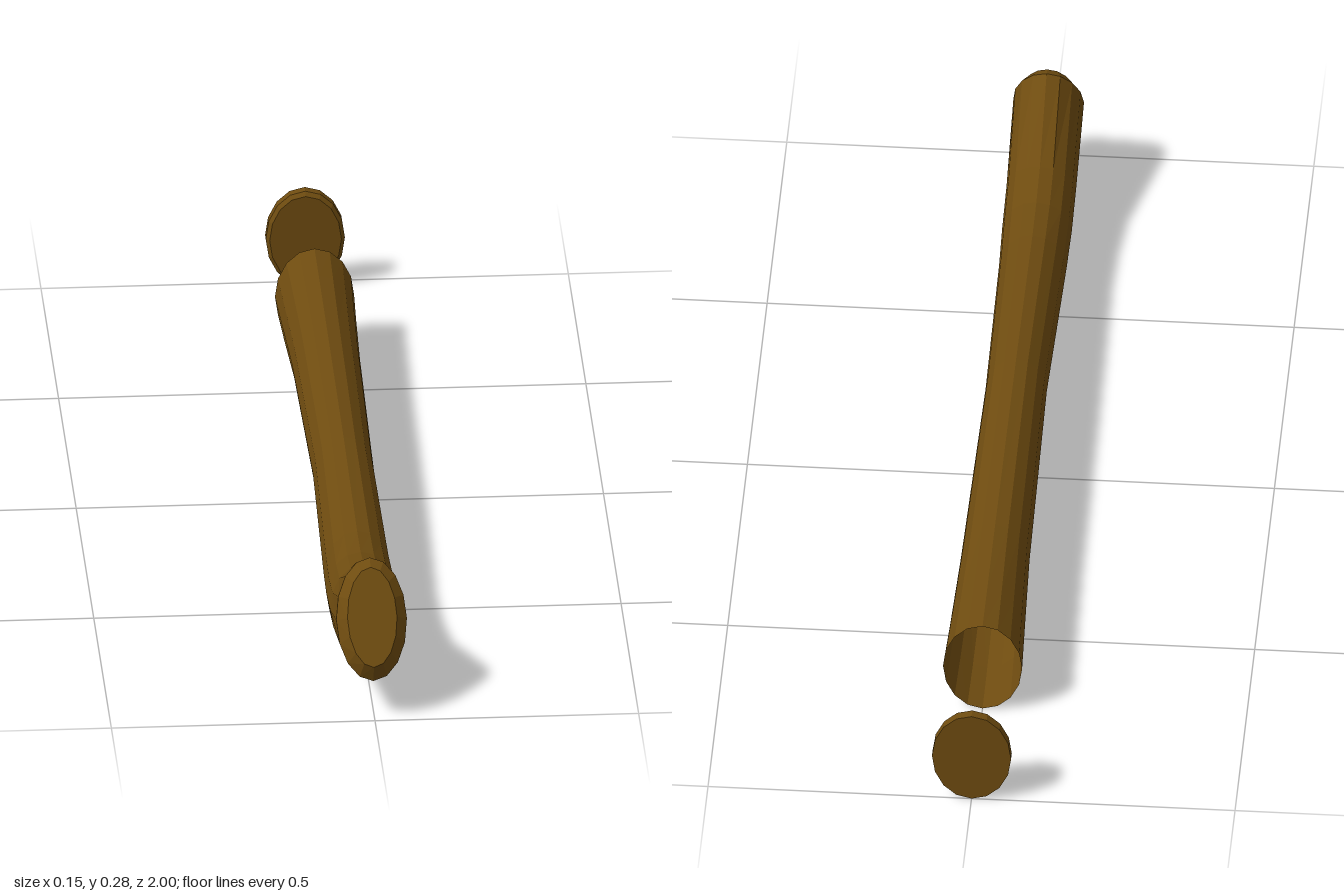
import * as THREE from 'three';

const SIDES = 16;

// Skins a list of elliptical rings running towards +z.
// Each ring: [topZ, topY, bottomZ, bottomY, halfWidth, centreX]
function loft(rings, capBack, capFront) {
  const pos = [];
  const idx = [];
  const centre = ([tz, ty, bz, by, , cx]) => [cx, (ty + by) / 2, (tz + bz) / 2];
  for (const ring of rings) {
    const [tz, ty, bz, by, w] = ring;
    const [cx, cy, cz] = centre(ring);
    for (let j = 0; j < SIDES; j++) {
      const a = (j / SIDES) * Math.PI * 2;
      const c = Math.cos(a) / 2;
      pos.push(cx + w * Math.sin(a), cy + c * (ty - by), cz + c * (tz - bz));
    }
  }
  const at = (i, j) => i * SIDES + (j % SIDES);
  for (let i = 0; i < rings.length - 1; i++) {
    for (let j = 0; j < SIDES; j++) {
      idx.push(at(i, j), at(i + 1, j), at(i, j + 1));
      idx.push(at(i, j + 1), at(i + 1, j), at(i + 1, j + 1));
    }
  }
  const cap = (i, front) => {
    const c = pos.length / 3;
    pos.push(...centre(rings[i]));
    for (let j = 0; j < SIDES; j++) {
      if (front) idx.push(c, at(i, j + 1), at(i, j));
      else idx.push(c, at(i, j), at(i, j + 1));
    }
  };
  if (capBack) cap(0, false);
  if (capFront) cap(rings.length - 1, true);
  const indexed = new THREE.BufferGeometry();
  indexed.setAttribute('position', new THREE.Float32BufferAttribute(pos, 3));
  indexed.setIndex(idx);
  const geo = indexed.toNonIndexed();
  geo.computeVertexNormals();
  return geo;
}

export function createModel() {
  const group = new THREE.Group();
  group.name = 'handle';
  const wood = new THREE.MeshStandardMaterial({
    color: 0x6f4c10, flatShading: true, side: THREE.DoubleSide,
  });
  wood.name = 'brown wood';

  const add = (name, geo) => {
    const mesh = new THREE.Mesh(geo, wood);
    mesh.name = name;
    group.add(mesh);
  };

  // Curved shaft, open at the back, with a slanted bevelled knob at the front
  add('shaft', loft([
    [-0.72, 0.198, -0.72, 0.002, 0.075, 0],
    [-0.6, 0.197, -0.6, 0.006, 0.071, 0],
    [-0.4, 0.194, -0.4, 0.027, 0.065, 0],
    [0.12, 0.191, 0.12, 0.04, 0.058, -0.001],
    [0.52, 0.178, 0.54, 0.013, 0.064, -0.002],
    [0.62, 0.18, 0.65, 0.025, 0.066, -0.002],
    [0.71, 0.195, 0.78, 0.042, 0.066, -0.002],
    [0.88, 0.287, 0.985, 0.078, 0.067, -0.002],
    [0.905, 0.278, 1.0, 0.113, 0.047, -0.002],
  ], false, true));

  // Separate end disc behind the shaft, lightly bevelled on its front
  add('endDisc', loft([
    [-1, 0.198, -1, 0.002, 0.075, 0],
    [-0.981, 0.198, -0.981, 0.002, 0.075, 0],
    [-0.974, 0.19, -0.974, 0.01, 0.068, 0],
  ], true, true));

  return group;
}
